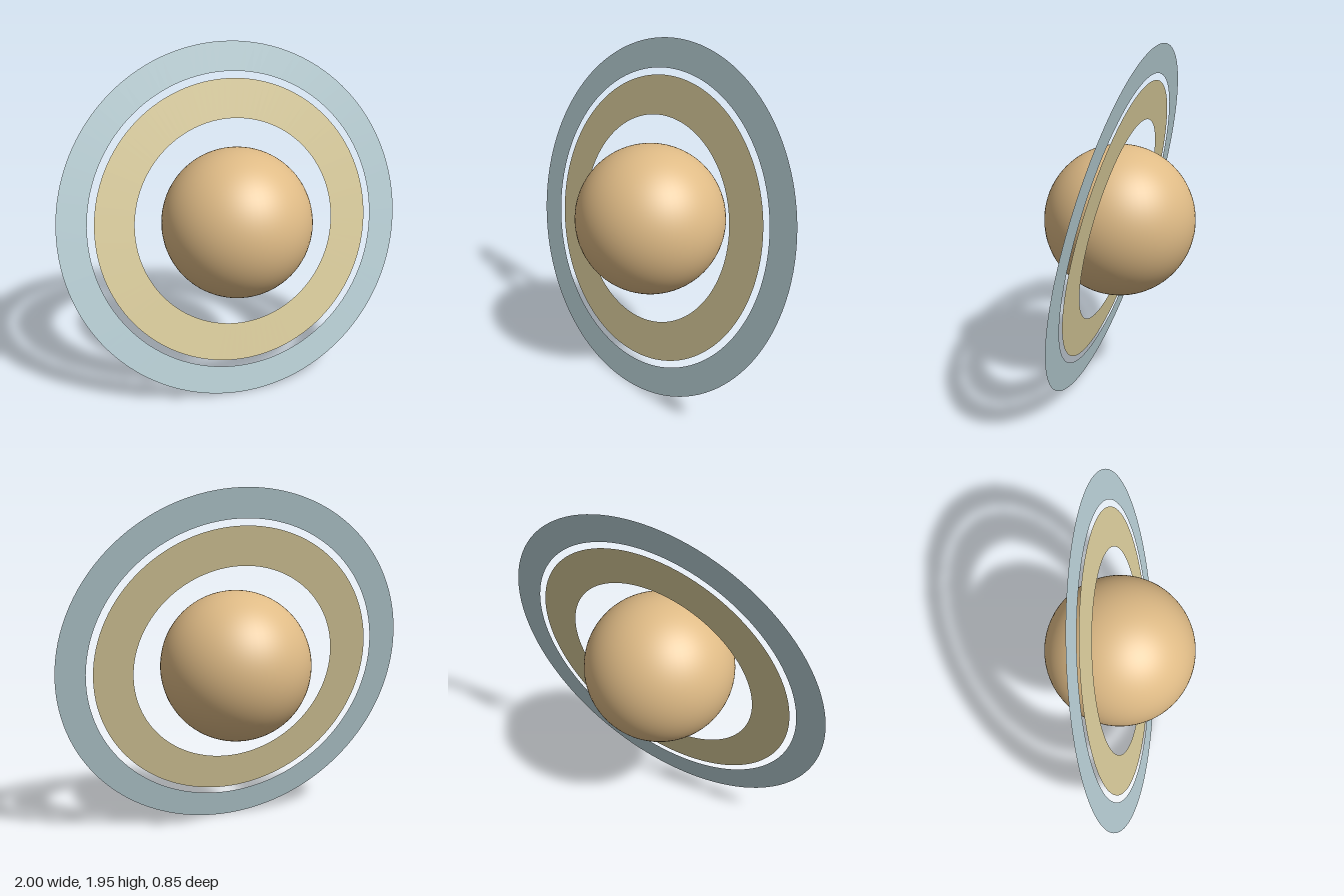
import * as THREE from 'three';

export function createModel() {
  const model = new THREE.Group();
  model.name = 'ringedPlanet';

  const material = (name, color, side = THREE.FrontSide) => {
    const m = new THREE.MeshStandardMaterial({ color, side });
    m.name = name;
    return m;
  };

  // Planet globe
  const globe = new THREE.Mesh(
    new THREE.SphereGeometry(0.426, 64, 48),
    material('sand', 0xdfbb86)
  );
  globe.name = 'globe';
  globe.position.y = 0.978;
  model.add(globe);

  // Flat concentric rings sharing one tilted plane
  const rings = new THREE.Group();
  rings.name = 'rings';
  rings.position.y = 0.977;
  rings.quaternion.setFromUnitVectors(
    new THREE.Vector3(0, 0, 1),
    new THREE.Vector3(-0.07, 0.229, 0.971).normalize()
  );
  const addRing = (name, inner, outer, mat) => {
    const ring = new THREE.Mesh(new THREE.RingGeometry(inner, outer, 128), mat);
    ring.name = name;
    rings.add(ring);
  };
  addRing('innerRing', 0.585, 0.803, material('paleGold', 0xdacc9b, THREE.DoubleSide));
  addRing('outerRing', 0.841, 1.0025, material('iceBlue', 0xb7ced4, THREE.DoubleSide));
  model.add(rings);

  return model;
}
